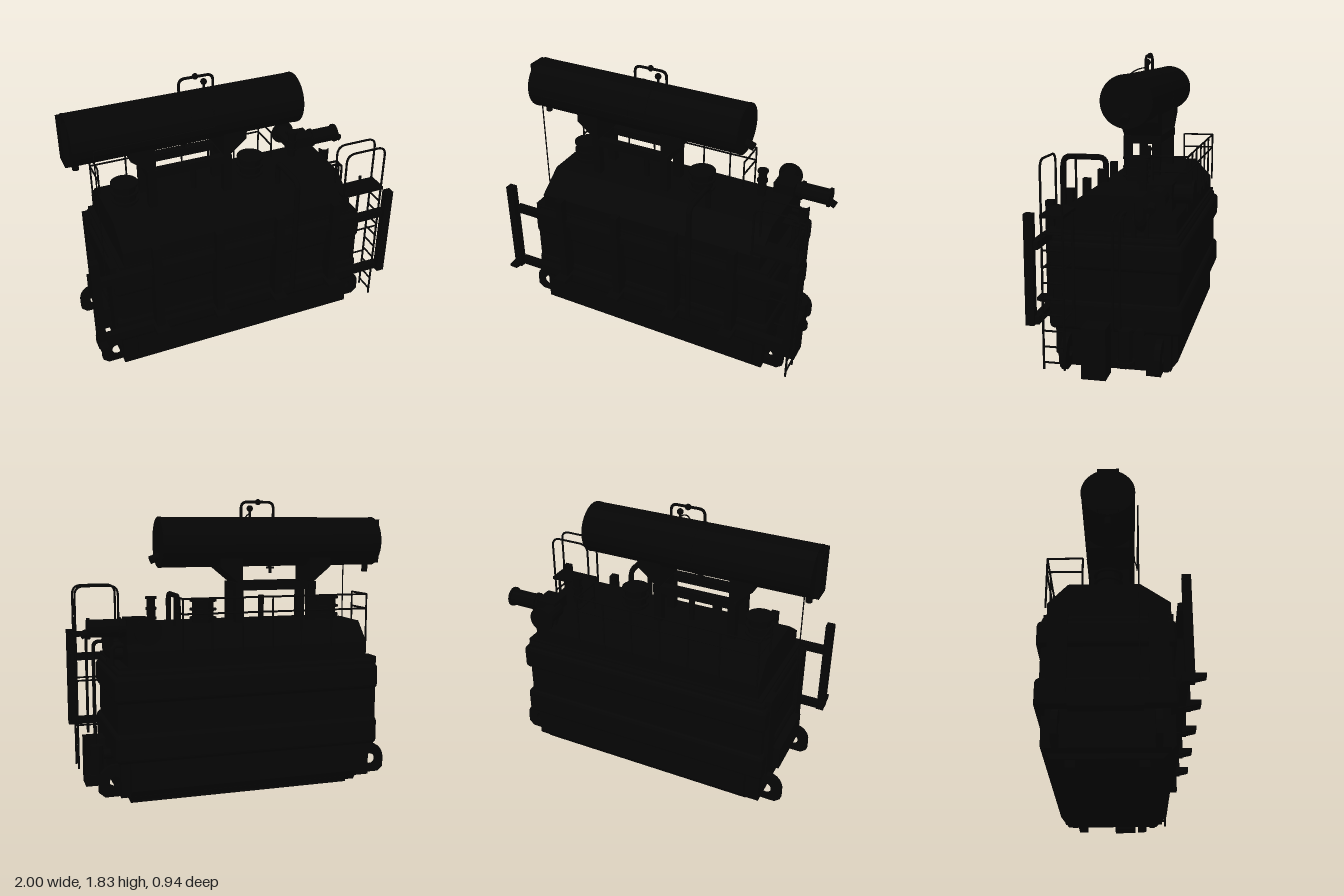
import * as THREE from 'three';
import { RoundedBoxGeometry } from 'three/addons/geometries/RoundedBoxGeometry.js';

const mat = new THREE.MeshStandardMaterial({ color: 0x050505 });

export function createModel() {
  const root = new THREE.Group();
  const V = (p) => new THREE.Vector3(...p);

  function add(name, geo) {
    const m = new THREE.Mesh(geo, mat);
    m.name = name;
    root.add(m);
    return m;
  }
  // box given by its extents
  function box(name, x0, x1, y0, y1, z0, z1, round = 0) {
    const s = [x1 - x0, y1 - y0, z1 - z0];
    const g = round ? new RoundedBoxGeometry(...s, 3, round) : new THREE.BoxGeometry(...s);
    add(name, g).position.set((x0 + x1) / 2, (y0 + y1) / 2, (z0 + z1) / 2);
  }
  // cylinder between two points
  function rod(name, a, b, r, seg = 20) {
    const A = V(a), B = V(b), d = B.clone().sub(A);
    const m = add(name, new THREE.CylinderGeometry(r, r, d.length(), seg));
    m.position.copy(A).add(B).multiplyScalar(0.5);
    m.quaternion.setFromUnitVectors(new THREE.Vector3(0, 1, 0), d.normalize());
  }
  // pipe through points with rounded corners
  function pipe(name, pts, r, bend = 0.04, seg = 90) {
    const P = pts.map(V), path = new THREE.CurvePath();
    let last = P[0];
    for (let i = 1; i < P.length - 1; i++) {
      const a = P[i].clone().add(P[i - 1].clone().sub(P[i]).setLength(bend));
      const b = P[i].clone().add(P[i + 1].clone().sub(P[i]).setLength(bend));
      path.add(new THREE.LineCurve3(last, a));
      path.add(new THREE.QuadraticBezierCurve3(a, P[i], b));
      last = b;
    }
    path.add(new THREE.LineCurve3(last, P[P.length - 1]));
    add(name, new THREE.TubeGeometry(path, seg, r, 8));
  }
  function ball(name, p, r) {
    add(name, new THREE.SphereGeometry(r, 16, 12)).position.set(...p);
  }
  // [z, y] section extruded along x
  function prism(name, section, x0, x1) {
    const s = new THREE.Shape(section.map(([z, y]) => new THREE.Vector2(-z, y)));
    const g = new THREE.ExtrudeGeometry(s, { depth: x1 - x0, bevelEnabled: false });
    add(name, g.rotateY(Math.PI / 2).translate(x0, 0, 0));
  }
  // [x, y] outline extruded along z
  function plate(name, outline, z0, z1, holes = []) {
    const s = new THREE.Shape(outline.map(([x, y]) => new THREE.Vector2(x, y)));
    holes.forEach(([x, y, r]) => s.holes.push(new THREE.Path().absarc(x, y, r, 0, Math.PI * 2, true)));
    const g = new THREE.ExtrudeGeometry(s, { depth: z1 - z0, bevelEnabled: false, curveSegments: 24 });
    add(name, g.translate(0, 0, z0));
  }

  // tank: base rails, chamfered lower part, walls and sloped lid
  for (const z of [0.152, -0.24]) box('baseRail', -0.71, 0.71, 0, 0.06, z - 0.028, z + 0.028);
  prism('tankBottom', [[0.25, 0.04], [0.32, 0.11], [0.32, 0.3], [-0.4, 0.3], [-0.4, 0.11], [-0.345, 0.04]], -0.73, 0.73);
  box('tankLower', -0.82, 0.785, 0.07, 0.3, -0.37, 0.29);
  box('tankWall', -0.83, 0.8, 0.28, 0.84, -0.41, 0.32, 0.03);
  for (const [y0, y1] of [[0.64, 0.8], [0.285, 0.46]])
    box('stiffenerBand', -0.85, 0.82, y0, y1, -0.433, 0.335, 0.03);
  box('lidFlange', -0.81, 0.79, 0.835, 0.85, -0.4, 0.32);
  prism('lid', [[0.31, 0.83], [0.31, 0.94], [0.14, 1.06], [-0.27, 1.06], [-0.385, 0.94], [-0.385, 0.83]], -0.78, 0.735);
  box('lowerEndBox', -0.9, -0.82, 0.27, 0.42, -0.25, 0.15);
  for (const z of [-0.3, 0.25]) box('endRib', -0.86, -0.82, 0.3, 0.84, z - 0.07, z + 0.04);
  for (const x of [-0.6, -0.2, 0.2, 0.59]) box('frontRib', x - 0.025, x + 0.025, 0.36, 0.83, 0.3, 0.365);

  // lifting lugs with eyes at the four corners
  for (const s of [-1, 1]) for (const z of [-0.31, 0.225]) {
    const cx = -0.02 + s * 0.833, pts = [[cx - s * 0.07, 0.07], [cx + s * 0.06, 0.07], [cx + s * 0.095, 0.1]];
    for (let i = 0; i <= 10; i++) {
      const a = (i / 10) * Math.PI / 2;
      pts.push([cx + s * 0.095 * Math.cos(a), 0.16 + 0.1 * Math.sin(a)]);
    }
    pts.push([cx - s * 0.07, 0.26]);
    plate('liftingLug', pts, z - 0.018, z + 0.018, [[cx, 0.16, 0.032]]);
  }

  // front support frame with posts and outrigger brackets
  for (const y of [0.388, 0.813]) box('frameBeam', -0.96, 0.98, y - 0.023, y + 0.023, 0.335, 0.38);
  for (const x of [-0.975, -0.6, -0.2, 0.2, 0.59, 0.972])
    box('framePost', x - 0.025, x + 0.025, 0.36, 0.99, 0.36, 0.41);
  for (const x of [-0.975, -0.6, -0.2, 0.2, 0.59]) {
    const w = x < -0.9 ? 0.025 : 0.044;
    prism('frameBracket', [[0.34, 0.41], [0.468, 0.405], [0.468, 0.385], [0.34, 0.355]], x - w, x + w);
  }

  // conservator drum with end rims, gauge and drain valves
  const cy = 1.56, cz = -0.042;
  rod('conservator', [-0.97, cy, cz], [0.475, cy, cz], 0.155, 56);
  for (const x of [-0.962, -0.25, 0.465]) rod('drumRim', [x - 0.006, cy, cz], [x + 0.006, cy, cz], 0.157, 56);
  for (const z of [-0.1, 0.02]) box('drumEndBracket', -1, -0.96, 1.42, 1.7, z - 0.003, z + 0.003);
  box('drumEndBracket', -1, -0.995, 1.42, 1.7, -0.1, 0.02);
  rod('levelGauge', [0.46, 1.475, cz], [0.525, 1.452, cz], 0.025);
  rod('drainValve', [-0.93, 1.36, cz], [-0.93, 1.43, cz], 0.02);
  rod('drainValve', [-0.26, 1.36, cz], [-0.26, 1.43, cz], 0.01);
  rod('valveWheel', [-0.26, 1.39, cz], [-0.26, 1.4, cz], 0.025);

  // drum support: legs, cross beam and flared saddles
  for (const x of [-0.505, -0.018]) {
    for (const z of [0.055, -0.13]) box('supportLeg', x - 0.026, x + 0.026, 1.05, 1.28, z - 0.025, z + 0.025);
    const s = x < -0.3 ? -1 : 1;
    plate('saddle', [[x - s * 0.02, 1.29], [x + s * 0.01, 1.31], [x + s * 0.125, 1.405],
      [x + s * 0.125, 1.46], [x - s * 0.02, 1.46]], -0.16, 0.08);
    box('saddleTie', x - 0.026, x + 0.026, 1.26, 1.31, -0.16, 0.08);
  }
  for (const z of [0.055, -0.13]) box('supportBeam', -0.53, 0.01, 1.26, 1.31, z - 0.025, z + 0.025);

  // vent loop on the drum and breather line around it
  pipe('ventLoop', [[-0.275, 1.69, -0.05], [-0.275, 1.808, -0.05], [-0.06, 1.808, -0.05], [-0.06, 1.69, -0.05]], 0.009);
  ball('ventValve', [-0.17, 1.808, -0.055], 0.019);
  ball('ventValve', [-0.118, 1.768, -0.05], 0.02);
  rod('ventStem', [-0.118, 1.7, -0.05], [-0.118, 1.768, -0.05], 0.008);
  const arc = [];
  for (let i = 0; i <= 8; i++) {
    const a = (i / 8) * Math.PI / 2;
    arc.push([-0.118, 1.555 + 0.18 * Math.cos(a), -0.05 + 0.18 * Math.sin(a)]);
  }
  pipe('breatherLine', [...arc, [-0.855, 1.55, 0.13], [-0.855, 0.4, 0.13]], 0.004, 0.01, 160);

  // lid turrets with stacked flanges
  for (const x of [-0.647, 0.19]) {
    rod('turret', [x, 1.04, -0.045], [x, 1.19, -0.045], 0.068, 28);
    for (const y of [1.08, 1.135, 1.19])
      rod('turretFlange', [x, y, -0.045], [x, y + 0.012, -0.045], 0.085, 28);
  }
  rod('centreRiser', [-0.2, 1.04, -0.04], [-0.2, 1.22, -0.04], 0.018);
  rod('riser', [0.548, 1.0, -0.16], [0.548, 1.23, -0.16], 0.026);
  for (const y of [1.04, 1.1, 1.16, 1.225]) rod('riserFlange', [0.548, y, -0.16], [0.548, y + 0.015, -0.16], 0.034);
  pipe('frontPipe', [[0.31, 1.04, 0.12], [0.31, 1.21, 0.12], [0.31, 1.21, 0.39], [0.31, 0.4, 0.39]], 0.018, 0.05);

  // cable outlets at the right rear
  box('cableBox', 0.6, 0.735, 0.98, 1.13, -0.36, -0.22);
  rod('rearOutlet', [0.63, 1.065, -0.3], [0.63, 1.065, -0.47], 0.055, 28);
  rod('rearFlange', [0.63, 1.065, -0.458], [0.63, 1.065, -0.472], 0.08, 28);
  rod('sideOutlet', [0.72, 1.075, -0.3], [0.95, 1.075, -0.3], 0.052, 28);
  for (const x of [0.76, 0.94]) rod('sideFlange', [x, 1.075, -0.3], [x + 0.014, 1.075, -0.3], 0.062, 28);
  rod('outletTip', [0.93, 1.06, -0.29], [0.99, 1.035, -0.29], 0.023);

  // right end: elbow, control box, breather
  pipe('elbow', [[0.71, 0.905, -0.2], [0.82, 0.905, -0.2], [0.82, 1.04, -0.2]], 0.035, 0.06);
  for (const z of [-0.09, -0.16, -0.23])
    pipe('cableBend', [[0.73, 0.96, z], [0.8, 0.96, z], [0.8, 0.84, z]], 0.014);
  box('controlBox', 0.815, 0.945, 0.05, 0.35, -0.03, 0.11);
  for (const y of [0.12, 0.28]) box('controlBoxMount', 0.78, 0.82, y - 0.015, y + 0.015, -0.02, 0.1);
  rod('breather', [0.89, 0.16, -0.13], [0.89, 0.34, -0.13], 0.04);
  rod('breatherCap', [0.89, 0.13, -0.13], [0.89, 0.16, -0.13], 0.055);
  for (const z of [-0.1, -0.06]) pipe('breatherPipe', [[0.89, 0.32, z], [0.89, 0.97, z], [0.72, 0.97, z]], 0.008);
  rod('valveStub', [0.78, 0.3, -0.2], [0.86, 0.3, -0.2], 0.03);

  // ladder with hooped hand rails and a step platform
  for (const z of [0.2, 0.32])
    pipe('ladderRail', [[0.96, 0.1, z], [0.96, 1.283, z], [0.685, 1.283, z], [0.685, 0.95, z]], 0.007, 0.06, 120);
  for (let i = 0; i < 10; i++) rod('rung', [0.96, 0.14 + i * 0.092, 0.2], [0.96, 0.14 + i * 0.092, 0.32], 0.006, 8);
  box('platform', 0.68, 0.975, 0.965, 0.985, 0.19, 0.325);
  for (const y of [0.39, 0.68]) for (const z of [0.2, 0.32])
    rod('ladderStay', [0.8, y, z], [0.96, y, z], 0.006, 8);
  rod('ladderConduit', [0.9, 0.35, 0.16], [0.9, 0.99, 0.16], 0.009);

  // guard rail along the rear of the lid
  const xs = [-0.77, -0.535, -0.335, -0.15, 0.04, 0.23, 0.41];
  for (const x of xs) rod('railPost', [x, 0.92, -0.395], [x, 1.24, -0.395], 0.006, 8);
  for (const y of [1.24, 1.15]) {
    rod('guardRail', [-0.77, y, -0.395], [0.41, y, -0.395], 0.006, 8);
    for (const x of [xs[0], xs[6]]) rod('railReturn', [x, y, -0.395], [x, y, -0.19], 0.006, 8);
  }
  for (const x of [xs[0], xs[6]]) rod('railPost', [x, 1.05, -0.19], [x, 1.24, -0.19], 0.006, 8);

  return root;
}
